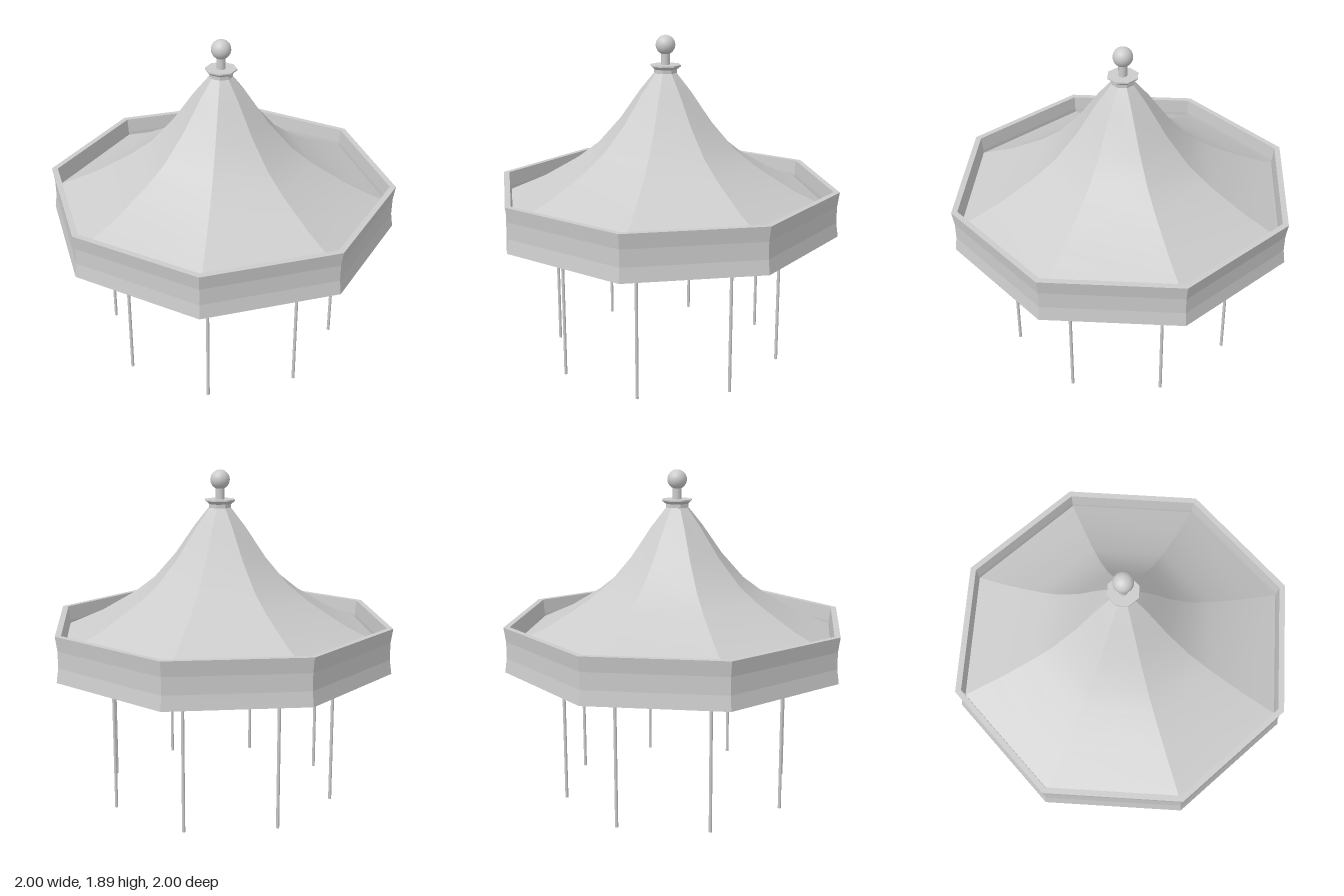
import * as THREE from 'three';
import { mergeGeometries } from 'three/addons/utils/BufferGeometryUtils.js';

const SIDES = 8;

// Eight panels swept from one profile: smooth up each panel, sharp between panels
function panels(profile) {
  const points = profile.map(([r, y]) => new THREE.Vector2(r, y));
  const parts = [];
  for (let i = 0; i < SIDES; i++) {
    const step = (Math.PI * 2) / SIDES;
    const g = new THREE.LatheGeometry(points, 1, i * step, step);
    g.computeVertexNormals();
    parts.push(g);
  }
  return mergeGeometries(parts);
}

export function createModel() {
  const model = new THREE.Group();
  const smooth = new THREE.MeshStandardMaterial({ color: 0xcccccc, side: THREE.DoubleSide });
  const flat = new THREE.MeshStandardMaterial({ color: 0xcccccc, side: THREE.DoubleSide, flatShading: true });

  function add(name, geometry, material, x = 0, y = 0, z = 0) {
    const mesh = new THREE.Mesh(geometry, material);
    mesh.name = name;
    mesh.position.set(x, y, z);
    model.add(mesh);
    return mesh;
  }

  // Sweeping concave roof
  add('roof', panels([
    [0.955, 0.945], [0.735, 1.045], [0.525, 1.17], [0.40, 1.265],
    [0.267, 1.414], [0.15, 1.58], [0.06, 1.69],
  ]), smooth);

  // Flat ceiling and the short wall that joins it to the roof
  add('ceiling', panels([[0, 0.835], [0.955, 0.835], [0.955, 0.945]]), flat);

  // Octagonal fascia with a slightly waisted outer face
  add('fascia', panels([
    [0.965, 0.79], [1, 0.79], [0.988, 0.87], [0.988, 0.965],
    [1, 1.048], [0.965, 1.048], [0.957, 0.965], [0.957, 0.87], [0.965, 0.79],
  ]), flat);

  // Flared collar at the peak
  add('collar', panels([
    [0.055, 1.68], [0.066, 1.685], [0.066, 1.705], [0.088, 1.722], [0.088, 1.73], [0, 1.73],
  ]), flat);

  // Finial
  add('finialPost', new THREE.CylinderGeometry(0.025, 0.025, 0.08, 12), smooth, 0, 1.76, 0);
  add('finialBall', new THREE.SphereGeometry(0.055, 24, 16), smooth, 0, 1.84, 0);

  // Ring of slender poles
  const poleHeight = 0.84;
  const poleGeometry = new THREE.CylinderGeometry(0.009, 0.009, poleHeight, 10);
  for (let i = 0; i < SIDES; i++) {
    const a = (i / SIDES) * Math.PI * 2;
    add(`pole${i + 1}`, poleGeometry, smooth, Math.sin(a) * 0.673, poleHeight / 2, Math.cos(a) * 0.673);
  }
  return model;
}
